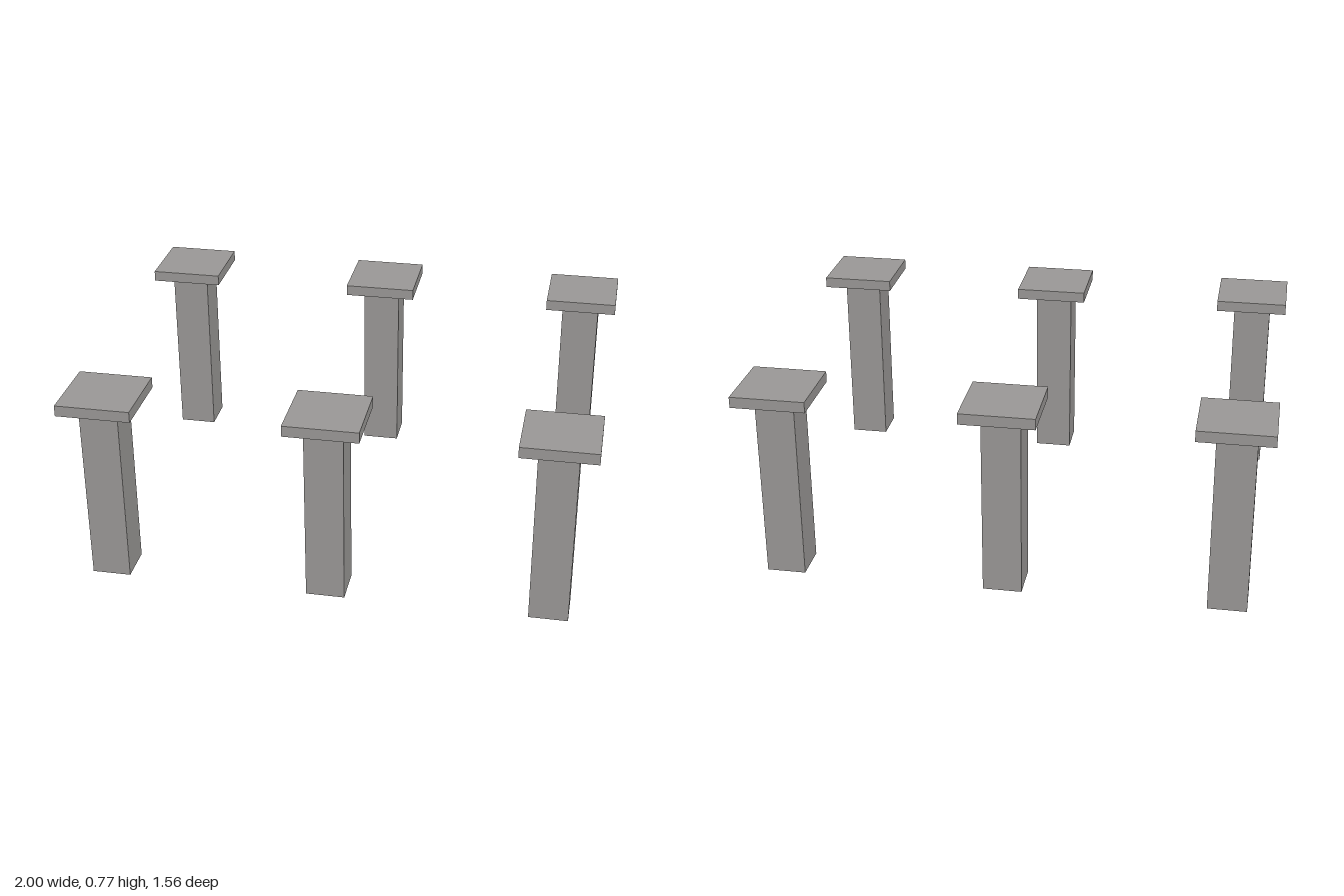
import * as THREE from 'three';

const stone = new THREE.MeshStandardMaterial({ color: 0x9a9896 });
stone.name = 'stoneGrey';

function box(name, width, height, bottom) {
  const mesh = new THREE.Mesh(new THREE.BoxGeometry(width, height, width), stone);
  mesh.name = name;
  mesh.position.y = bottom + height / 2;
  return mesh;
}

// Square shaft with a wider flat slab on top
function createPillar() {
  const pillar = new THREE.Group();
  pillar.name = 'pillar';
  const shaft = box('shaft', 0.15, 0.725, 0);
  shaft.position.x = -0.003;
  pillar.add(shaft, box('capSlab', 0.287, 0.043, 0.725));
  return pillar;
}

export function createModel() {
  const model = new THREE.Group();
  model.name = 'pillars';
  // Two rows of three pillars
  for (const z of [-0.635, 0.635]) {
    for (const x of [-0.8565, 0, 0.8565]) {
      const pillar = createPillar();
      pillar.position.set(x, 0, z);
      model.add(pillar);
    }
  }
  return model;
}
